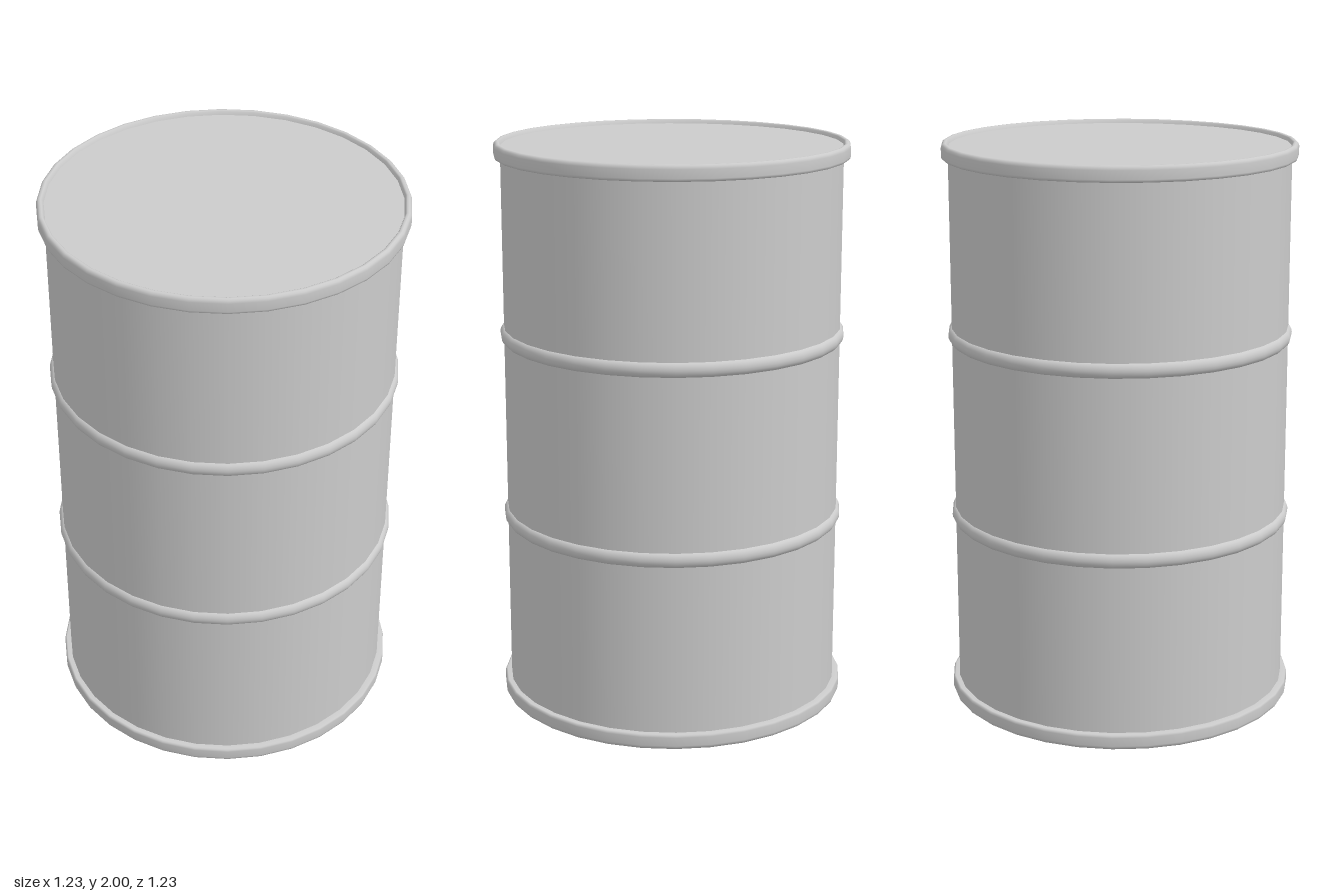
import * as THREE from 'three';

const SIDES = 32;
const HEIGHT = 2;
const BODY_R = 0.593;
const LID_R = 0.591;
const LID_INSET = 0.014;

export function createModel() {
  const group = new THREE.Group();
  const material = new THREE.MeshStandardMaterial({ color: 0xcccccc });

  const add = (name, geometry) => {
    const mesh = new THREE.Mesh(geometry, material);
    mesh.name = name;
    group.add(mesh);
    return mesh;
  };
  const lathe = (points) =>
    new THREE.LatheGeometry(points.map(([r, y]) => new THREE.Vector2(r, y)), SIDES);

  // Straight drum wall
  add('body', new THREE.CylinderGeometry(BODY_R, BODY_R, HEIGHT - 0.06, SIDES, 1, true))
    .position.y = HEIGHT / 2;

  // Rounded rolling hoops around the wall
  const hoop = [];
  for (let i = 0; i <= 8; i++) {
    const a = -Math.PI / 2 + (i / 8) * Math.PI;
    hoop.push([0.585 + 0.021 * Math.cos(a), 0.027 * Math.sin(a)]);
  }
  [['lowerHoop', 0.676], ['upperHoop', 1.33]].forEach(([name, y]) => {
    add(name, lathe(hoop)).position.y = y;
  });

  // Rolled rims: softened outer edges, short inner wall down to the lid
  const rim = [
    [0.588, 1.946], [0.609, 1.946], [0.614, 1.949], [0.616, 1.956],
    [0.616, 1.986], [0.613, 1.995], [0.607, 2], [0.6, 2],
    [0.595, 1.997], [LID_R, 1.985],
  ];
  const flip = (points) => points.map(([r, y]) => [r, HEIGHT - y]).reverse();
  add('topRim', lathe(rim));
  add('bottomRim', lathe(flip(rim)));

  // Flat end plates, slightly recessed inside the rims
  const plate = new THREE.CircleGeometry(LID_R, SIDES);
  const lid = add('lid', plate);
  lid.rotation.x = -Math.PI / 2;
  lid.position.y = HEIGHT - LID_INSET;
  const base = add('base', plate);
  base.rotation.x = Math.PI / 2;
  base.position.y = LID_INSET;

  return group;
}
